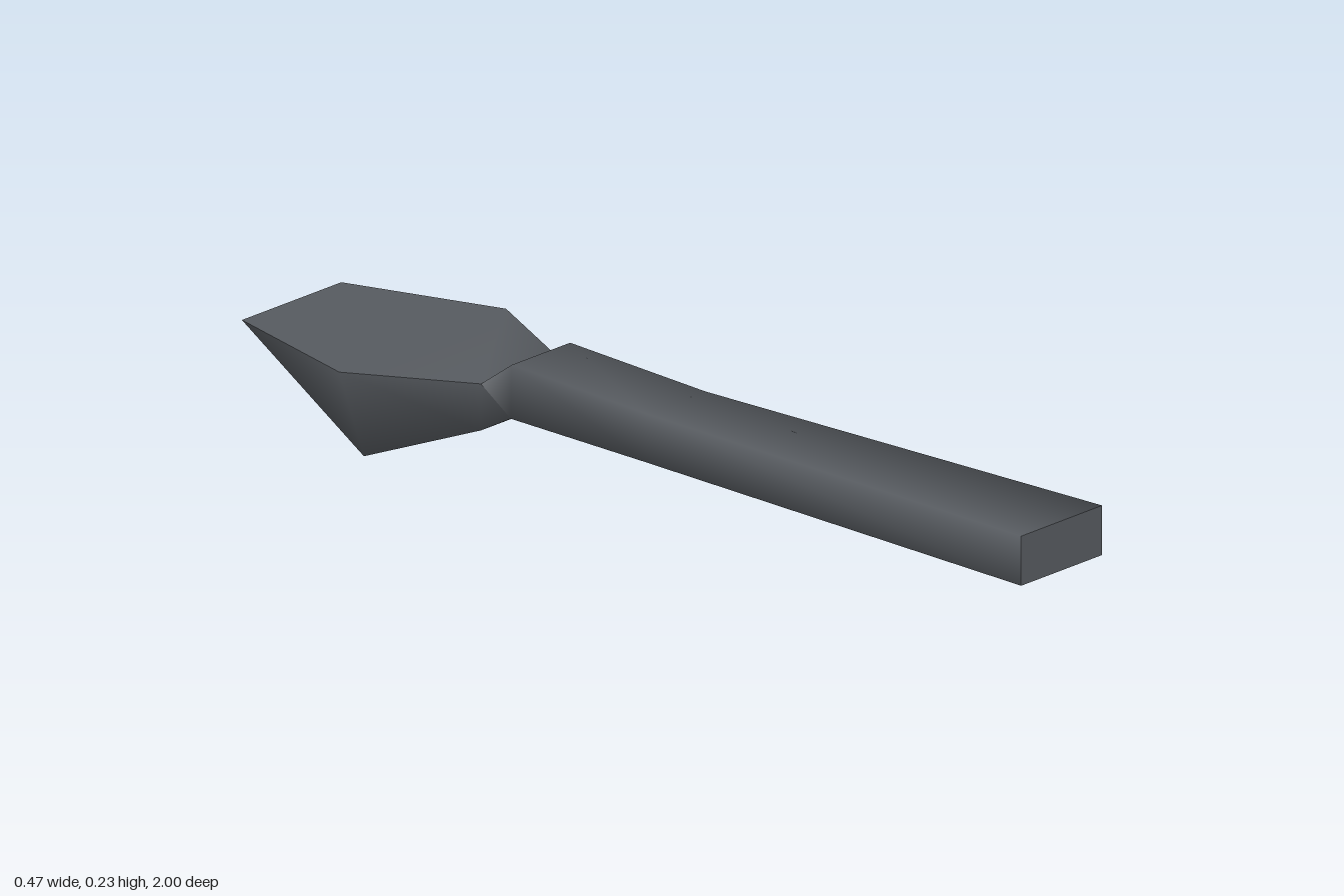
import * as THREE from 'three';
import { toCreasedNormals } from 'three/addons/utils/BufferGeometryUtils.js';

// Cross-sections: [centre x, top half-width, top y, top z, bottom half-width, bottom y, bottom z]
const SECTIONS = [
  [-0.002, 0.114, 0.227, 1.0, 0.114, 0.126, 1.0],     // handle end
  [-0.003, 0.083, 0.215, 0.0, 0.085, 0.117, 0.0],     // handle middle
  [-0.003, 0.082, 0.226, -0.35, 0.085, 0.117, -0.35], // neck
  [-0.001, 0.106, 0.178, -0.41, 0.089, 0.075, -0.425], // start of scoop
  [0, 0.235, 0.174, -0.66, 0.198, 0.0, -0.63],        // widest part
  [0, 0.14, 0.168, -1.0, 0.12, 0.066, -0.86],         // slanted tip
];

function ring([cx, tw, ty, tz, bw, by, bz]) {
  return [cx + tw, ty, tz, cx - tw, ty, tz, cx - bw, by, bz, cx + bw, by, bz];
}

function build(positions, index) {
  const geometry = new THREE.BufferGeometry();
  geometry.setAttribute('position', new THREE.Float32BufferAttribute(positions, 3));
  geometry.setIndex(index);
  geometry.computeVertexNormals();
  return geometry;
}

export function createModel() {
  const model = new THREE.Group();
  model.name = 'spoon';
  const darkGrey = new THREE.MeshStandardMaterial({ color: 0x565a5f });
  darkGrey.name = 'darkGrey';

  // Four-sided loft for handle and scoop, diagonals all turning the same way
  const index = [];
  const last = SECTIONS.length - 1;
  for (let i = 0; i < last; i++) {
    for (let j = 0; j < 4; j++) {
      const a = i * 4 + j;
      const b = i * 4 + ((j + 1) % 4);
      index.push(a, a + 4, b, b, a + 4, b + 4);
    }
  }
  // Slanted underside of the tip
  const t = last * 4;
  index.push(t, t + 2, t + 1, t, t + 3, t + 2);

  // Soft handle edges, sharp scoop rim
  const bodyGeometry = toCreasedNormals(build(SECTIONS.flatMap(ring), index), 1.65);
  const body = new THREE.Mesh(bodyGeometry, darkGrey);
  body.name = 'handleAndScoop';
  model.add(body);

  // Flat face at the end of the handle
  const end = new THREE.Mesh(build(ring(SECTIONS[0]), [0, 1, 2, 0, 2, 3]), darkGrey);
  end.name = 'handleEnd';
  model.add(end);

  return model;
}
